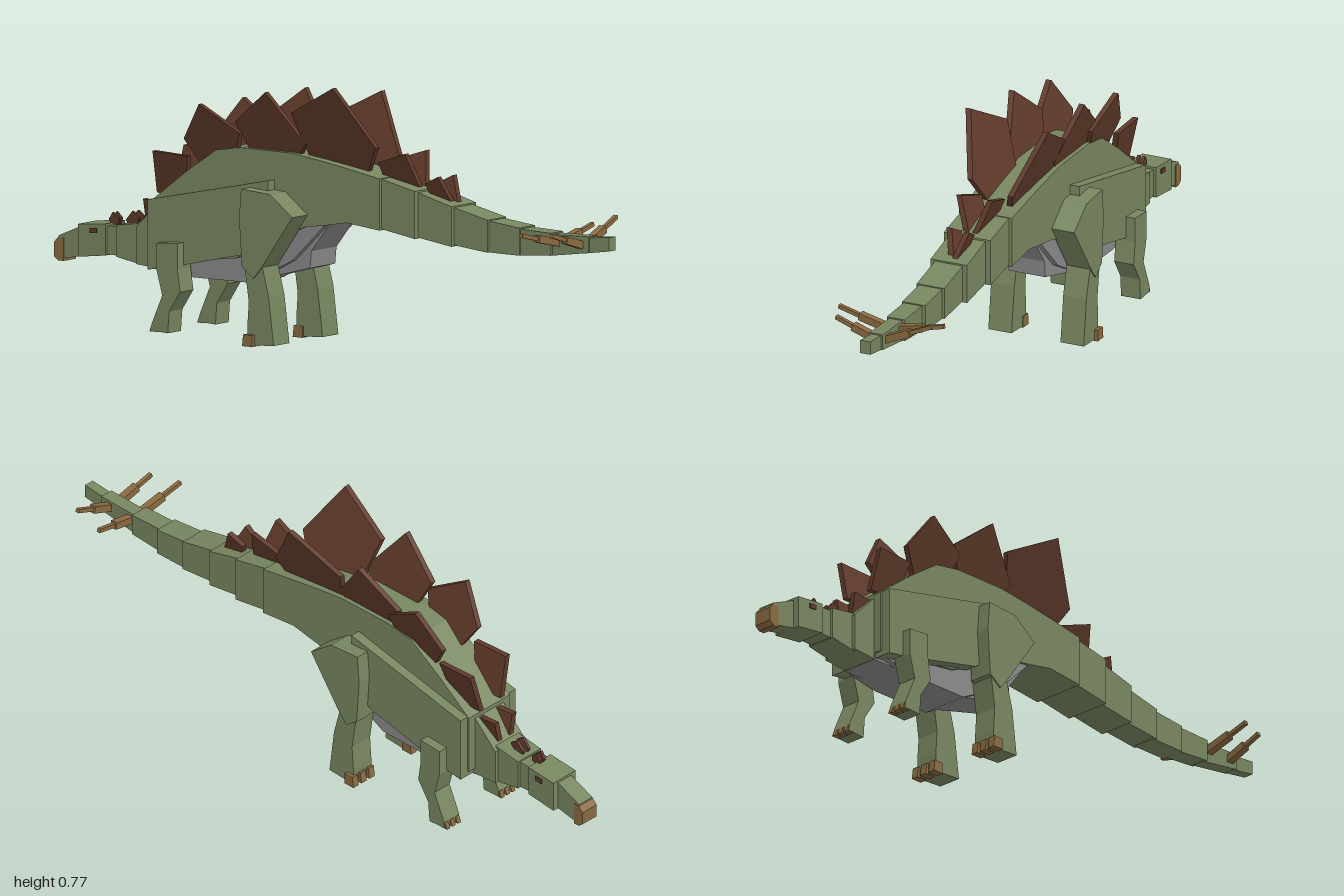
import * as THREE from 'three';

const mat = (name, color) => Object.assign(new THREE.MeshStandardMaterial({ color }), { name });
const CX = 0.008; // centre line of the body

export function createModel() {
  const model = new THREE.Group();
  model.name = 'platedDinosaur';
  const green = mat('skinGreen', 0x788660);
  const brown = mat('plateBrown', 0x603a2a);
  const tan = mat('hornTan', 0x8a6a40);
  const grey = mat('bellyGrey', 0x8a8a8c);

  // Side outline [z, y] given a thickness across x, optionally leaning outwards with height
  function slab(name, outline, x, width, material, lean = 0) {
    const shape = new THREE.Shape(outline.map(([z, y]) => new THREE.Vector2(z, y)));
    const geo = new THREE.ExtrudeGeometry(shape, { depth: width, bevelEnabled: false });
    geo.rotateY(-Math.PI / 2).translate(x + width / 2, 0, 0);
    if (lean) {
      const base = Math.min(...outline.map((p) => p[1]));
      const pos = geo.attributes.position;
      for (let i = 0; i < pos.count; i++) pos.setX(i, pos.getX(i) + lean * (pos.getY(i) - base));
      geo.computeVertexNormals();
    }
    const mesh = new THREE.Mesh(geo, material);
    mesh.name = name;
    model.add(mesh);
  }

  // Square bar between two points
  function bar(name, a, b, size, material) {
    const from = new THREE.Vector3(...a), to = new THREE.Vector3(...b);
    const mesh = new THREE.Mesh(new THREE.BoxGeometry(size, size, from.distanceTo(to)), material);
    mesh.position.copy(from).lerp(to, 0.5);
    mesh.lookAt(to);
    mesh.name = name;
    model.add(mesh);
  }

  // Tail, neck and head segments: z start, z end, top and bottom at each, half width
  const segments = [
    ['tail', 1.0, 0.92, 0.405, 0.365, 0.398, 0.353, 0.016],
    ['tail', 0.93, 0.79, 0.402, 0.355, 0.398, 0.335, 0.021],
    ['tail', 0.8, 0.68, 0.402, 0.337, 0.405, 0.328, 0.029],
    ['tail', 0.69, 0.57, 0.408, 0.328, 0.42, 0.328, 0.037],
    ['tail', 0.58, 0.45, 0.422, 0.328, 0.45, 0.34, 0.044],
    ['tail', 0.46, 0.33, 0.452, 0.336, 0.485, 0.354, 0.058],
    ['tail', 0.34, 0.21, 0.488, 0.35, 0.515, 0.37, 0.074],
    ['neck', -0.58, -0.68, 0.392, 0.18, 0.295, 0.187, 0.058],
    ['neck', -0.67, -0.76, 0.305, 0.185, 0.292, 0.2, 0.047],
    ['neck', -0.75, -0.81, 0.288, 0.202, 0.285, 0.203, 0.038],
    ['head', -0.8, -0.9, 0.292, 0.2, 0.283, 0.188, 0.046],
    ['snout', -0.89, -0.985, 0.28, 0.19, 0.24, 0.172, 0.027],
  ];
  for (const [name, z0, z1, t0, b0, t1, b1, w] of segments)
    slab(name, [[z0, b0], [z0, t0], [z1, t1], [z1, b1]], CX * (z0 > 0.7 ? 0.6 : 1), 2 * w, green);

  // Beak and eyes
  slab('beak', [[-0.965, 0.168], [-0.965, 0.235], [-0.985, 0.235], [-1, 0.22], [-1, 0.18], [-0.985, 0.168]], CX, 0.058, tan);
  for (const s of [-1, 1])
    slab('eye', [[-0.83, 0.263], [-0.83, 0.277], [-0.855, 0.275], [-0.855, 0.261]], CX + s * 0.046, 0.008, brown);

  // Arched back
  slab('body', [[0.22, 0.365], [0.22, 0.515], [0.1, 0.535], [0, 0.55], [-0.1, 0.562], [-0.28, 0.562],
    [-0.37, 0.548], [-0.48, 0.475], [-0.6, 0.385], [-0.6, 0.2], [-0.3, 0.24], [-0.05, 0.352], [0.02, 0.362], [0.1, 0.377]],
  CX, 0.168, green);
  // Wider flanks from hip to shoulder
  slab('flanks', [[-0.16, 0.48], [-0.595, 0.388], [-0.595, 0.185], [-0.53, 0.195], [-0.24, 0.26], [-0.16, 0.31]], CX, 0.228, green);
  // Belly
  slab('belly', [[0.02, 0.362], [-0.045, 0.28], [-0.05, 0.23], [-0.24, 0.18], [-0.6, 0.18], [-0.6, 0.25], [-0.2, 0.35]], CX, 0.118, grey);
  slab('bellyPlate', [[0.015, 0.36], [-0.1, 0.25], [-0.25, 0.172], [-0.46, 0.17], [-0.57, 0.19], [-0.4, 0.26], [-0.2, 0.34]], CX, 0.152, grey);

  for (const s of [-1, 1]) {
    // Hind legs
    slab('thigh', [[-0.04, 0.388], [-0.12, 0.448], [-0.225, 0.455], [-0.232, 0.37], [-0.222, 0.23], [-0.18, 0.2], [-0.15, 0.235]],
      CX + s * 0.118, 0.076, green);
    slab('hindShin', [[-0.155, 0.25], [-0.128, 0.15], [-0.11, 0.01], [-0.205, 0.004], [-0.205, 0.06], [-0.2, 0.13], [-0.215, 0.23]],
      CX + s * 0.115, 0.074, green);
    // Forelegs
    slab('foreleg', [[-0.465, 0.275], [-0.54, 0.27], [-0.54, 0.19], [-0.52, 0.12], [-0.558, 0.035], [-0.56, 0.015],
      [-0.5, 0.012], [-0.495, 0.075], [-0.455, 0.135], [-0.465, 0.2]], CX + s * 0.112, 0.062, green);
    // Claws
    for (const c of [-1, 0, 1]) {
      slab('hindClaw', [[-0.18, 0.002], [-0.18, 0.036], [-0.212, 0.036], [-0.216, 0.002]], CX + s * 0.119 + c * 0.033, 0.022, tan);
      slab('foreClaw', [[-0.54, 0.012], [-0.54, 0.034], [-0.56, 0.032], [-0.568, 0.012]], CX + s * 0.112 + c * 0.022, 0.014, tan);
    }
  }

  // Back plates: outline, base offset, lean, change in height and z on the left row
  const plates = [
    [[[0.43, 0.455], [0.395, 0.53], [0.345, 0.505], [0.36, 0.46]], 0.008, 0.3, 0, 0.01],
    [[[0.32, 0.485], [0.292, 0.59], [0.185, 0.555], [0.2, 0.49]], 0.012, 0.36, 0, 0],
    [[[0.14, 0.51], [0.195, 0.6], [0.085, 0.77], [-0.09, 0.68], [-0.05, 0.53]], 0.03, 0.35, -0.035, -0.01],
    [[[-0.1, 0.53], [-0.055, 0.59], [-0.17, 0.735], [-0.3, 0.635], [-0.25, 0.53]], 0.05, 0.28, -0.012, -0.02],
    [[[-0.32, 0.5], [-0.28, 0.605], [-0.41, 0.68], [-0.488, 0.57], [-0.43, 0.48]], 0.05, 0.28, -0.005, -0.005],
    [[[-0.5, 0.43], [-0.475, 0.52], [-0.6, 0.525], [-0.608, 0.4], [-0.55, 0.4]], 0.045, 0.25, 0, -0.005],
    [[[-0.6, 0.34], [-0.6, 0.37], [-0.665, 0.376], [-0.665, 0.295]], 0.02, 0.2, 0, 0],
    [[[-0.72, 0.285], [-0.7, 0.315], [-0.725, 0.332], [-0.75, 0.305], [-0.74, 0.28]], 0.008, 0.1, 0, 0],
    [[[-0.785, 0.28], [-0.78, 0.305], [-0.8, 0.322], [-0.815, 0.3], [-0.805, 0.28]], 0.005, 0.1, 0, 0],
  ];
  plates.forEach(([outline, x, lean, dy, dz], i) => {
    for (const s of [-1, 1]) {
      const pts = s < 0 ? outline : outline.map(([z, y]) => [z + dz, y + dy]);
      slab('backPlate', pts, CX + s * x, i < 7 ? 0.017 : 0.008, brown, s * lean);
    }
  });

  // Tail spikes: thick root and thin tip
  const spikes = [
    [0.9, -0.14, 0.415], [0.9, 0.163, 0.437], [0.815, -0.172, 0.412], [0.815, 0.163, 0.408],
  ];
  for (const [z, x, y] of spikes) {
    const root = [Math.sign(x) * 0.015, 0.376, z];
    const mid = [x * 0.6, 0.376 + (y - 0.376) * 0.55, z - 0.004];
    bar('spikeRoot', root, mid, 0.022, tan);
    bar('spikeTip', mid, [x, y, z - 0.008], 0.012, tan);
  }
  return model;
}
